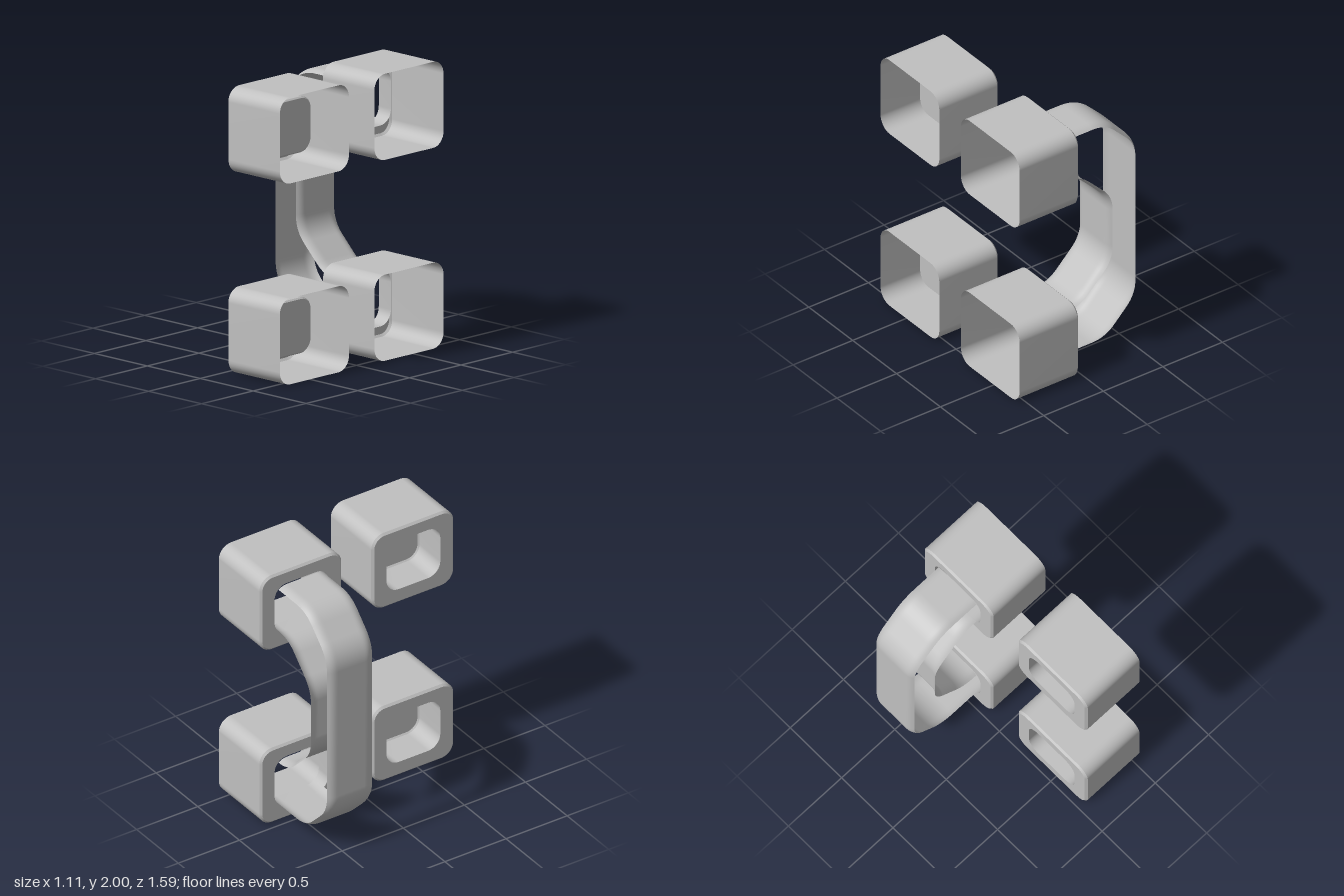
import * as THREE from 'three';

const grey = new THREE.MeshStandardMaterial({ color: 0xc0c0c0, side: THREE.DoubleSide });
grey.name = 'light grey';

const BOX = { hz: 0.335, hy: 0.3, r: 0.1 };
const HOLE = { hz: 0.22, hy: 0.195, r: 0.1 };
const LIFT = 0.005; // the hole sits slightly above the socket centre
const MID = 1.0025; // mirror height of the handle

// Closed rounded rectangle as [z, y] points, starting mid edge
function outline({ hz, hy, r }, inset = 0, dy = 0) {
  const a = hz - inset, b = hy - inset, c = r - inset, pts = [[a, dy]];
  [[1, 1], [-1, 1], [-1, -1], [1, -1]].forEach(([sz, sy], q) => {
    for (let i = 0; i <= 8; i++) {
      const t = (q + i / 8) * Math.PI / 2;
      pts.push([sz * (a - c) + c * Math.cos(t), sy * (b - c) + c * Math.sin(t) + dy]);
    }
  });
  pts.push([a, dy]);
  return pts;
}

// Sheet through equally long rows of [x, y, z] points
function sheet(rows) {
  const n = rows[0].length, index = [];
  for (let i = 0; i < rows.length - 1; i++) {
    for (let j = 0; j < n - 1; j++) {
      const a = i * n + j, b = a + n;
      index.push(a, b, a + 1, b, b + 1, a + 1);
    }
  }
  const g = new THREE.BufferGeometry();
  g.setAttribute('position', new THREE.Float32BufferAttribute(rows.flat(2), 3));
  g.setIndex(index);
  g.computeVertexNormals();
  return g;
}

const ring = (pts, x) => pts.map(([z, y]) => [x, y, z]);
const toShape = (pts) => new THREE.Shape(pts.slice(0, -1).map(([z, y]) => new THREE.Vector2(z, y)));

function add(parent, name, geometry) {
  const mesh = new THREE.Mesh(geometry, grey);
  mesh.name = name;
  parent.add(mesh);
}

// Open box with a holed back plate; the hole leads to a pocket or a sleeve
function socket(name, y, z, closed) {
  const g = new THREE.Group();
  g.name = name;
  g.position.set(0, y, z);
  const full = outline(BOX), small = outline(BOX, 0.015);
  const hole = outline(HOLE, 0, LIFT), holeIn = outline(HOLE, 0.01, LIFT);
  add(g, 'socketWall', sheet([ring(full, 0.55), ring(full, 0.065)]));
  add(g, 'socketChamfer', sheet([ring(full, 0.065), ring(small, 0.05)]));

  const plate = toShape(small);
  plate.holes.push(toShape(hole));
  add(g, 'backPlate', new THREE.ShapeGeometry(plate).rotateY(-Math.PI / 2).translate(0.05, 0, 0));

  const end = closed ? 0.3 : 0.165;
  add(g, closed ? 'pocketWall' : 'sleeve', sheet([ring(hole, end), ring(hole, 0.05)]));
  if (closed) {
    add(g, 'pocketChamfer', sheet([ring(holeIn, 0.31), ring(hole, end)]));
    add(g, 'pocketEnd', new THREE.ShapeGeometry(toShape(holeIn)).rotateY(-Math.PI / 2).translate(0.31, 0, 0));
  }
  return g;
}

// C-shaped strip: straight runs joined by two eased 45 degree bends per half
function strip(top, side, diagonal, bend, sign) {
  const cx = top - diagonal, cy = side + diagonal, d = bend * Math.SQRT1_2;
  const half = [[0.05, top]];
  const curve = (a, b, c) => new THREE.QuadraticBezierCurve(
    new THREE.Vector2(...a), new THREE.Vector2(...b), new THREE.Vector2(...c)
  ).getPoints(10).forEach((p) => half.push([p.x, p.y]));
  curve([cx + bend, top], [cx, top], [cx - d, top - d]);
  curve([side + d, cy + d], [side, cy], [side, cy - bend]);
  const path = [...half, ...half.slice().reverse().map(([x, y]) => [x, 2 * MID - y])];

  const rows = path.map(([x, y], i) => {
    const p = path[Math.max(i - 1, 0)], q = path[Math.min(i + 1, path.length - 1)];
    const len = Math.hypot(q[0] - p[0], q[1] - p[1]);
    const nx = -(q[1] - p[1]) / len, ny = (q[0] - p[0]) / len;
    const row = [];
    for (let k = 0; k <= 24; k++) {
      // Long edges curl over with the radius of the hole corners
      const w = (k / 12 - 1) * 0.185;
      const e = Math.max(0, Math.abs(w) - (HOLE.hz - HOLE.r));
      const drop = sign * (HOLE.r - Math.sqrt(HOLE.r ** 2 - e ** 2));
      row.push([x + nx * drop, y + ny * drop, w - 0.46]);
    }
    return row;
  });
  return sheet(rows);
}

export function createModel() {
  const model = new THREE.Group();
  model.name = 'socketsWithHandle';
  for (const [level, y] of [['upper', 1.7], ['lower', 0.3]]) {
    model.add(socket(level + 'FrontSocket', y, 0.458, true));
    model.add(socket(level + 'BackSocket', y, -0.458, false));
  }

  // Curved handle between the back sockets
  const handle = new THREE.Group();
  handle.name = 'handle';
  add(handle, 'outerStrip', strip(1.893, -0.555, 2.18, 0.12, 1));
  add(handle, 'innerStrip', strip(1.512, -0.316, 1.565, 0.1, -1));
  model.add(handle);
  return model;
}
